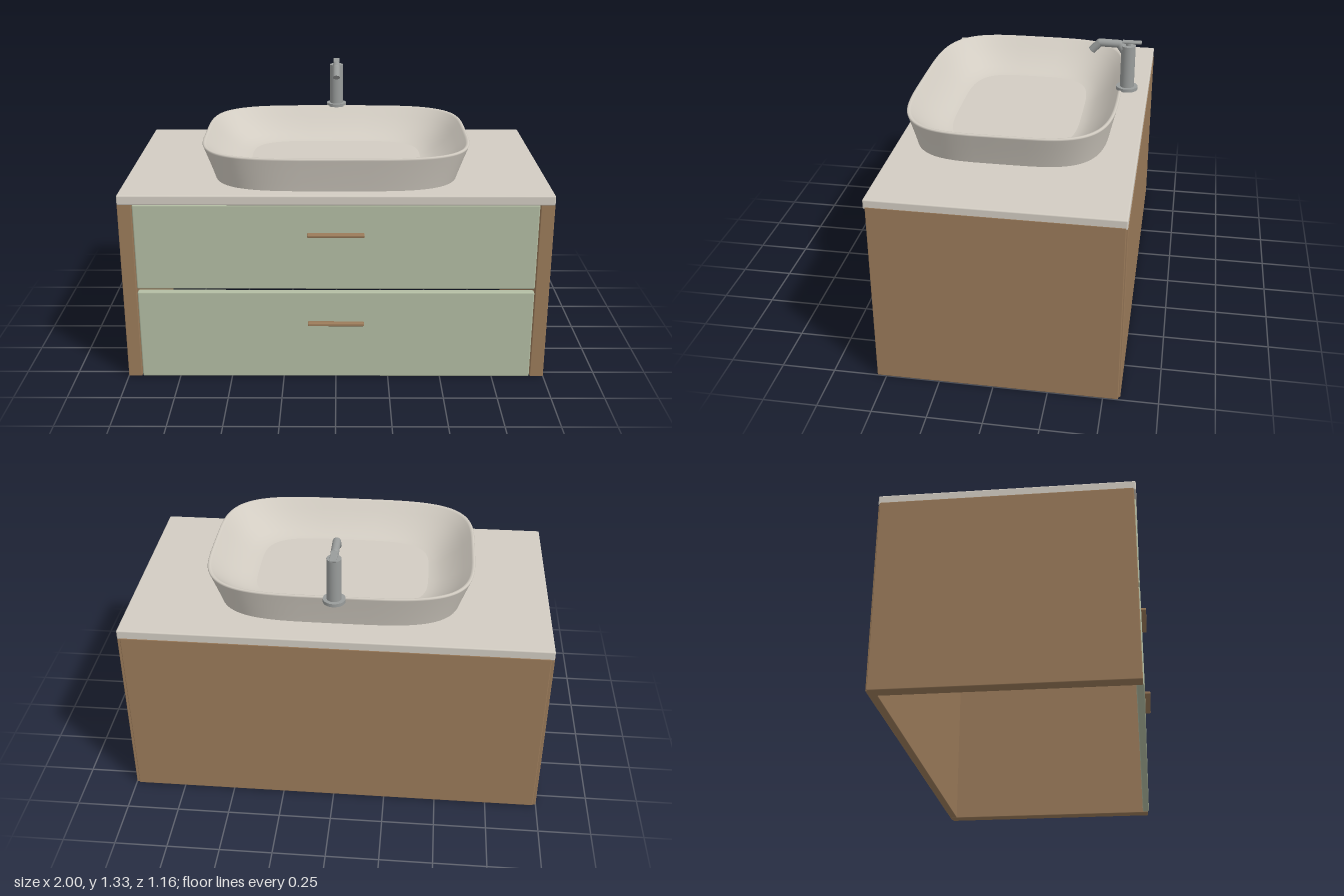
import * as THREE from 'three';
import { RoundedBoxGeometry } from 'three/addons/geometries/RoundedBoxGeometry.js';

const mat = (name, color) => {
  const m = new THREE.MeshStandardMaterial({ color });
  m.name = name;
  return m;
};

export function createModel() {
  const root = new THREE.Group();
  root.name = 'washstand';
  const wood = mat('oak wood', 0x9b7b5a);
  const green = mat('sage green', 0xb3bda3);
  const stone = mat('warm white ceramic', 0xd2ccc2);
  const metal = mat('brushed metal', 0x999c9b);

  const add = (name, geometry, material, parent = root) => {
    const mesh = new THREE.Mesh(geometry, material);
    mesh.name = name;
    parent.add(mesh);
    return mesh;
  };
  // Box given by its limits, with slightly rounded edges
  const box = (name, material, [x0, x1], [y0, y1], [z0, z1], r = 0.004, parent = root) => {
    const mesh = add(name, new RoundedBoxGeometry(x1 - x0, y1 - y0, z1 - z0, 2, r), material, parent);
    mesh.position.set((x0 + x1) / 2, (y0 + y1) / 2, (z0 + z1) / 2);
    return mesh;
  };

  // Cabinet, open underneath
  box('leftSidePanel', wood, [0.935, 1], [0, 0.89], [-0.57, 0.543]);
  box('rightSidePanel', wood, [-1, -0.935], [0, 0.89], [-0.57, 0.543]);
  box('backPanel', wood, [-0.985, 0.985], [0.002, 0.885], [-0.578, -0.54]);
  box('countertop', stone, [-0.999, 0.999], [0.878, 0.925], [-0.576, 0.552], 0.007);

  // Drawer fronts and their bar handles
  [['lower', 0.003, 0.446, 0.29], ['upper', 0.462, 0.879, 0.737]].forEach(([n, y0, y1, h]) => {
    box(n + 'DrawerFront', green, [-0.931, 0.931], [y0, y1], [0.515, 0.549], 0.007);
    box(n + 'DrawerHandle', wood, [-0.132, 0.132], [h - 0.007, h + 0.007], [0.547, 0.578]);
  });

  // Basin: superellipse rings [half width, half depth, height], outside up, over the rim and down inside
  const ringSurface = (rings, power = 4, sides = 96) => {
    const pos = [], idx = [];
    const c = (v) => Math.sign(v) * Math.abs(v) ** (2 / power);
    rings.forEach(([a, b, y], r) => {
      for (let i = 0; i < sides; i++) {
        const t = (i / sides) * Math.PI * 2;
        pos.push(a * c(Math.cos(t)), y, b * c(Math.sin(t)));
        if (r === rings.length - 1) continue;
        const p = r * sides + i, q = r * sides + (i + 1) % sides;
        idx.push(p, p + sides, q, q, p + sides, q + sides);
      }
    });
    const g = new THREE.BufferGeometry();
    g.setAttribute('position', new THREE.Float32BufferAttribute(pos, 3));
    g.setIndex(idx);
    g.computeVertexNormals();
    return g;
  };
  const basin = new THREE.Group();
  basin.name = 'basin';
  basin.position.z = 0.03;
  root.add(basin);
  add('basinShell', ringSurface([
    [0.583, 0.457, 0.922], [0.597, 0.466, 0.965], [0.618, 0.48, 1.025], [0.638, 0.493, 1.08],
    [0.64, 0.495, 1.086], [0.636, 0.491, 1.09], [0.628, 0.483, 1.09], [0.622, 0.477, 1.084],
    [0.585, 0.445, 1.045], [0.54, 0.405, 1.002], [0.49, 0.363, 0.969], [0.45, 0.33, 0.951], [0.42, 0.305, 0.945],
  ]), stone, basin);
  add('basinFloor', ringSurface([[0.42, 0.305, 0.945], [0.001, 0.001, 0.945]]), stone, basin);

  // Tap
  const tap = new THREE.Group();
  tap.name = 'tap';
  tap.position.z = -0.487;
  root.add(tap);
  const cyl = (name, r, y0, y1) => {
    add(name, new THREE.CylinderGeometry(r, r, y1 - y0, 32), metal, tap).position.y = (y0 + y1) / 2;
  };
  cyl('tapBase', 0.052, 1.085, 1.101);
  cyl('tapColumn', 0.034, 1.1, 1.308);
  cyl('leverStem', 0.012, 1.3, 1.325);
  box('tapLever', metal, [-0.016, 0.016], [1.32, 1.33], [-0.062, 0.03], 0.003, tap);

  // Spout made of straight pipes with rounded joints
  const path = [[1.275, 0.018], [1.313, 0.044], [1.315, 0.137], [1.275, 0.175]]
    .map(([y, z]) => new THREE.Vector3(0, y, z));
  const up = new THREE.Vector3(0, 1, 0);
  for (let i = 0; i < 3; i++) {
    const dir = path[i + 1].clone().sub(path[i]);
    const pipe = add('spoutPipe', new THREE.CylinderGeometry(0.019, 0.019, dir.length(), 20), metal, tap);
    pipe.position.copy(path[i]).addScaledVector(dir, 0.5);
    pipe.quaternion.setFromUnitVectors(up, dir.normalize());
    if (i) add('spoutJoint', new THREE.SphereGeometry(0.019, 20, 12), metal, tap).position.copy(path[i]);
  }
  return root;
}
